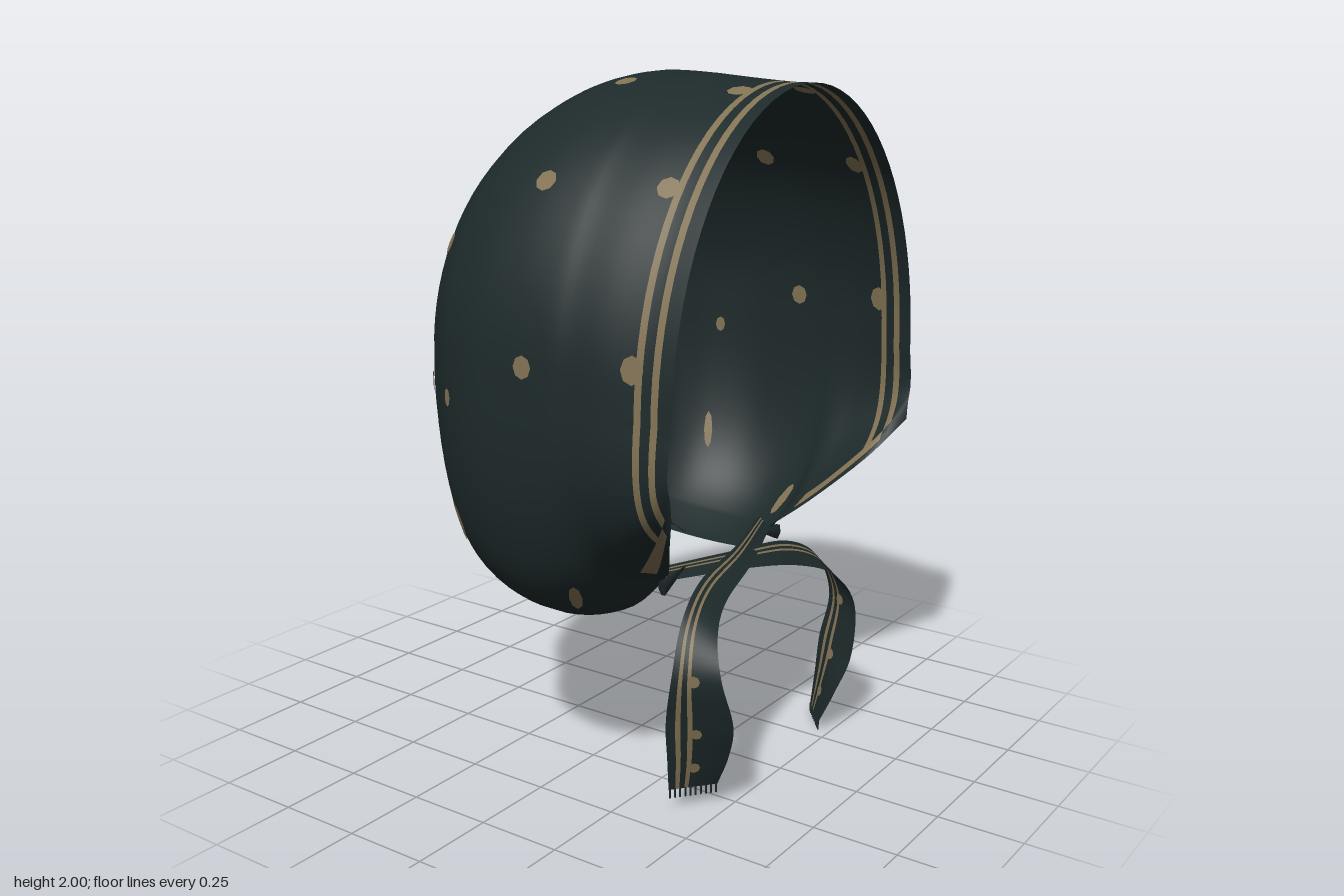
import * as THREE from 'three';
import { mergeVertices } from 'three/addons/utils/BufferGeometryUtils.js';

// Cross-sections, front to back: z, half width, top, height of widest point, hem x, hem y
const SECTIONS = [
  [0.55, 0.655, 1.972, 1.15, 0.65, 0.935], [0.47, 0.66, 1.974, 1.17, 0.54, 0.82],
  [0.36, 0.68, 1.982, 1.2, 0.38, 0.7], [0.27, 0.69, 1.99, 1.22, 0.27, 0.62],
  [0.2, 0.7, 1.996, 1.24, 0.32, 0.54], [0.08, 0.705, 2.0, 1.25, 0.38, 0.505],
  [-0.05, 0.7, 1.975, 1.25, 0.37, 0.51], [-0.17, 0.66, 1.92, 1.25, 0.32, 0.54],
  [-0.25, 0.605, 1.865, 1.25, 0.22, 0.585], [-0.3, 0.562, 1.82, 1.25, 0, 0.615],
  [-0.38, 0.475, 1.72, 1.23, 0, 0.64], [-0.45, 0.378, 1.6, 1.2, 0, 0.685],
  [-0.5, 0.28, 1.47, 1.17, 0, 0.785], [-0.535, 0.155, 1.325, 1.15, 0, 0.93],
  [-0.55, 0, 1.15, 1.15, 0, 1.15],
];
const LAST = SECTIONS.length - 1;
const spline = (points) => new THREE.CatmullRomCurve3(points, false, 'catmullrom', 0.5);
const outline = spline(SECTIONS.map((r) => new THREE.Vector3(r[0], r[1], r[2])));
const hem = spline(SECTIONS.map((r) => new THREE.Vector3(r[3], r[4], r[5])));

// Point of the hood: s runs front to back, v from hem (-1) over the crown (0) to hem (1)
function hoodPoint(s, v) {
  const { x: z, y: w, z: top } = outline.getPoint(s / LAST);
  const h = hem.getPoint(s / LAST);
  const mid = h.x, hx = s >= 9 ? 0 : Math.max(0, h.y), hy = h.z;
  const side = Math.sign(v), a = Math.abs(v);
  if (a <= 0.5) {
    return [side * w * Math.sin(a * Math.PI), mid + (top - mid) * Math.cos(a * Math.PI), z];
  }
  const t = a * 2 - 1, u = 1 - t;
  const bez = (p0, p1, p2, p3) => u * u * u * p0 + 3 * u * u * t * p1 + 3 * u * t * t * p2 + t * t * t * p3;
  const x = bez(w, w * 1.05, hx + (w - hx) * 0.58, hx);
  return [side * x, bez(mid, mid + (hy - mid) * 0.75, hy + hx * 0.16, hy), z];
}

// Grid surface whose cells are sorted into cloth (group 0) and trim (group 1)
function gridSurface(rows, cols, point, isTrim = () => false) {
  const position = [], cells = [[], []];
  for (const r of rows) for (const c of cols) position.push(...point(r, c));
  for (let i = 0; i < rows.length - 1; i++) {
    for (let j = 0; j < cols.length - 1; j++) {
      const a = i * cols.length + j, b = a + cols.length;
      const trim = isTrim((rows[i] + rows[i + 1]) / 2, (cols[j] + cols[j + 1]) / 2);
      cells[trim ? 1 : 0].push(a, b, a + 1, b, b + 1, a + 1);
    }
  }
  let geometry = new THREE.BufferGeometry();
  geometry.setAttribute('position', new THREE.Float32BufferAttribute(position, 3));
  geometry.setIndex([...cells[0], ...cells[1]]);
  geometry.addGroup(0, cells[0].length, 0);
  geometry.addGroup(cells[0].length, cells[1].length, 1);
  geometry = mergeVertices(geometry, 1e-5);
  geometry.computeVertexNormals();
  return geometry;
}

const range = (from, to, n) => Array.from({ length: n + 1 }, (_, i) => from + ((to - from) * i) / n);

export function createModel() {
  const group = new THREE.Group();
  group.name = 'bonnet';
  const cloth = new THREE.MeshStandardMaterial({ color: 0x1d292a, side: THREE.DoubleSide });
  cloth.name = 'dark teal cloth';
  const trim = new THREE.MeshStandardMaterial({ color: 0x827253, side: THREE.DoubleSide });
  trim.name = 'tan print';
  const materials = [cloth, trim];
  const add = (name, geometry, material) => {
    const mesh = new THREE.Mesh(geometry, material);
    mesh.name = name;
    group.add(mesh);
    return mesh;
  };

  // Hood with two stripes round the face and one along each chin edge
  const rows = [0, 0.2, 0.5, 0.75, 0.9, 1.05, 1.23, ...range(1.5, LAST, 50)];
  const half = [...range(0.025, 0.875, 34), 0.89, 0.955, 1];
  const cols = [...half.map((v) => -v).reverse(), 0, ...half];
  const hood = add('hood', gridSurface(rows, cols, hoodPoint, (s, v) => {
    const a = Math.abs(v);
    const rim = a < 0.89 && ((s > 0.5 && s < 0.75) || (s > 1.05 && s < 1.23));
    const chin = s > 0.75 && s < 2.4 && a > 0.89 && a < 0.955;
    return rim || chin;
  }), materials);

  // Gathered facing tucked up inside the nape
  add('napeFacing', gridSurface(range(0, 1, 6), range(-1.45, 1.45, 72), (k, a) => {
    const c = Math.cos(a), pleat = 0.008 * Math.sin(a * 24) * Math.sin(k * Math.PI);
    const r = 1 - 0.06 * k + pleat;
    return [0.37 * Math.sin(a) * r, 0.51 + 0.11 * c + 0.19 * k * c * c, -0.05 - 0.25 * c * r];
  }), materials);

  // Printed dots, on the outside and the lining, found by casting rays from the middle:
  // target x, y, z, then width and height factors
  const dots = [
    [0.2, 1.98, 0.09, 1, 1], [0.55, 1.74, 0.09, 1, 1], [0.7, 1.28, 0.13, 0.9, 1],
    [0.21, 1.84, -0.29, 1, 1], [0.53, 1.55, -0.26, 0.8, 1], [0.48, 1.15, -0.35, 0.8, 1],
    [0.21, 1.33, -0.5, 1, 1.2], [0.17, 1.95, 0.43, 1.1, 1], [0.49, 1.73, 0.43, 1, 1],
    [0.645, 1.3, 0.43, 1, 1.2], [0.54, 0.64, 0.17, 0.6, 2.1],
    [0.66, 1.16, -0.15, 0.5, 0.8], [0.64, 0.79, -0.17, 0.45, 2],
  ];
  const dotShape = new THREE.CircleGeometry(0.031, 8);
  const ray = new THREE.Raycaster(), centre = new THREE.Vector3(0, 1.2, 0);
  const stick = (name, point, normal, width, height) => {
    for (const offset of [-0.004, 0.004]) {
      const dot = add(name, dotShape, trim);
      dot.position.copy(point).addScaledVector(normal, offset);
      dot.lookAt(dot.position.clone().addScaledVector(normal, offset));
      dot.scale.set(width, height, 1);
    }
  };
  for (const [x, y, z, width, height] of dots) {
    for (const side of [-1, 1]) {
      ray.set(centre, new THREE.Vector3(x * side, y, z).sub(centre).normalize());
      const hit = ray.intersectObject(hood)[0];
      stick('dot', hit.point, hit.face.normal, width, height);
    }
  }

  // Ties crossing under the chin: centre line and half-width vectors
  const line = spline([
    [-0.27, 0.635, 0.27], [0, 0.62, 0.36], [0.22, 0.585, 0.4], [0.35, 0.52, 0.44],
    [0.41, 0.4, 0.47], [0.385, 0.25, 0.465], [0.36, 0.13, 0.445], [0.345, 0.025, 0.42],
  ].map((p) => new THREE.Vector3(...p)));
  const width = spline([
    [0, 0.015, -0.02], [0, 0.02, -0.03], [0.01, 0.03, -0.035], [0.02, 0.02, -0.045],
    [0.03, 0, -0.06], [0.045, 0, -0.08], [0.055, 0, -0.065], [0.055, 0, -0.045],
  ].map((p) => new THREE.Vector3(...p)));
  for (const side of [1, -1]) {
    const label = side > 0 ? 'left' : 'right';
    const point = (t, u) => {
      const p = line.getPoint(t).addScaledVector(width.getPoint(t), u);
      const drop = side > 0 ? 1 : 0.94;
      return [p.x * side, 0.64 - (0.64 - p.y) * drop + (side > 0 ? 0 : 0.012 * (1 - t)), p.z];
    };
    add(label + 'Tie', gridSurface(range(0, 1, 48), [-1, -0.5, 0, 0.2, 0.36, 0.56, 0.72, 1], point,
      (t, u) => (u > 0.2 && u < 0.36) || (u > 0.56 && u < 0.72)), materials);

    // Fringe threads at the cut end
    for (const u of range(-0.95, 0.95, 9)) {
      const [x, y, z] = point(1, u);
      const thread = add(label + 'Fringe', new THREE.BoxGeometry(0.004, 0.027, 0.004), cloth);
      thread.position.set(x, y - 0.0115, z);
    }

    // Printed dots on both faces of the tie
    for (const t of [0.58, 0.75, 0.9]) {
      const p = new THREE.Vector3(...point(t, 0.1));
      const across = new THREE.Vector3(...point(t, 1)).sub(p);
      const along = new THREE.Vector3(...point(t + 0.02, 0.1)).sub(p);
      stick(label + 'TieDot', p, across.cross(along).normalize(), 0.55, 0.55);
    }

    // Loose pinched corner where the tie meets the hem
    const corner = add(label + 'Corner', new THREE.ConeGeometry(0.025, 0.13, 6), cloth);
    corner.position.set(0.25 * side, 0.625, 0.29);
    corner.rotation.z = 1.3 * side;
    corner.scale.z = 0.5;
  }
  return group;
}
